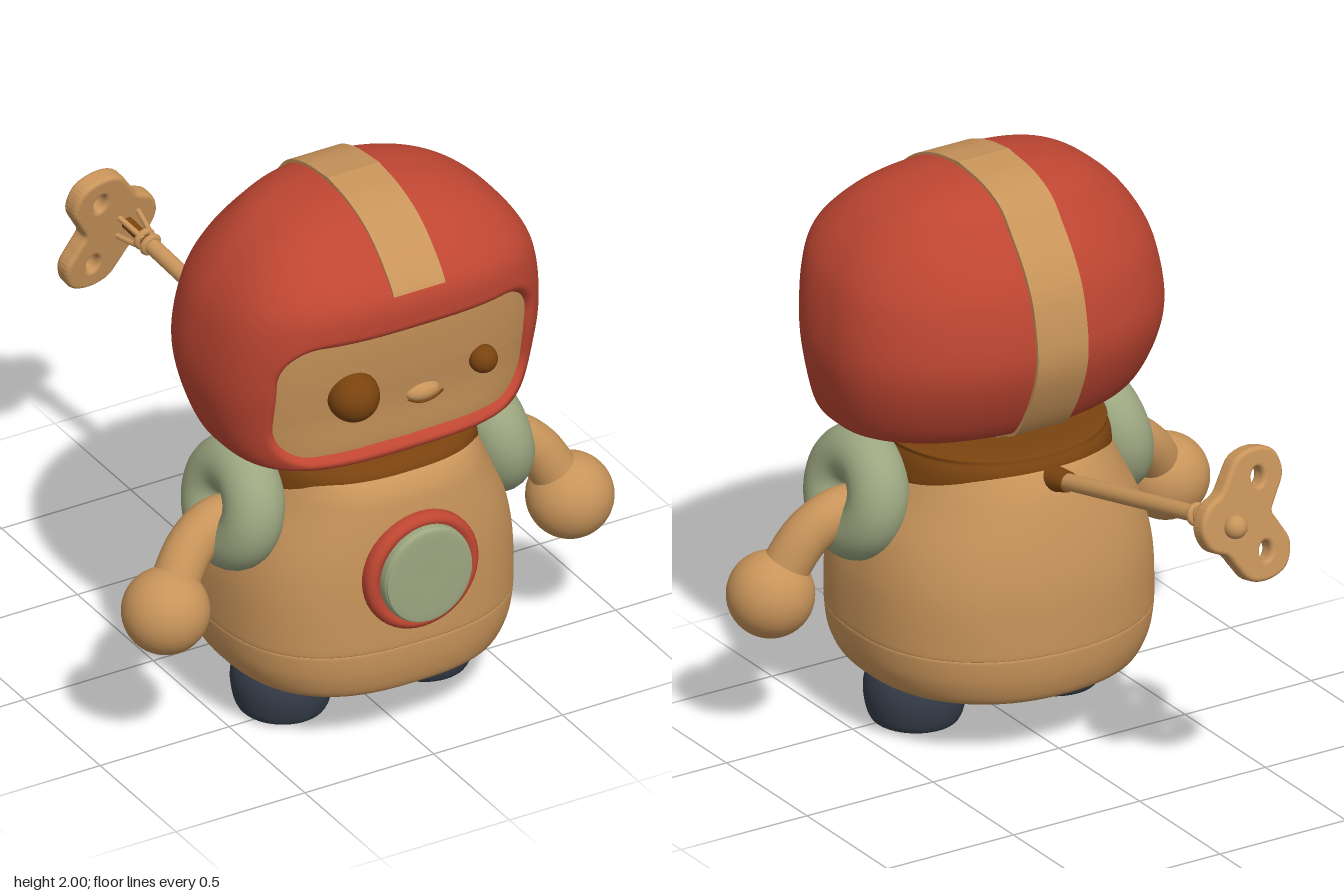
import * as THREE from 'three';

const { smoothstep } = THREE.MathUtils;
const paint = (name, color) => {
  const m = new THREE.MeshStandardMaterial({ color });
  m.name = name;
  return m;
};

// Body sections, listed upward: [y, half width, front z, back z]
const HEAD = [
  [1.06, 0, 0.5, 0.5], [1.065, 0.36, 0.72, 0.28], [1.1, 0.49, 0.83, 0.21], [1.15, 0.56, 0.855, 0.11],
  [1.3, 0.61, 0.87, 0.02], [1.45, 0.625, 0.895, -0.02], [1.63, 0.6, 0.915, 0.005], [1.75, 0.55, 0.905, 0.06],
  [1.855, 0.465, 0.82, 0.14], [1.93, 0.36, 0.72, 0.21], [1.975, 0.22, 0.6, 0.32], [1.995, 0, 0.47, 0.47],
];
const BODY = [
  [0.235, 0, 0.42, 0.42], [0.23, 0.36, 0.77, 0.07], [0.212, 0.43, 0.84, 0], [0.225, 0.48, 0.885, -0.05],
  [0.3, 0.52, 0.91, -0.08], [0.385, 0.535, 0.917, -0.09], [0.4, 0.53, 0.912, -0.085], [0.415, 0.537, 0.918, -0.09],
  [0.6, 0.53, 0.918, -0.088], [0.75, 0.495, 0.913, -0.065], [0.9, 0.425, 0.9, -0.025], [0.98, 0.39, 0.88, 0.01],
  [1.03, 0.37, 0.83, 0.05], [1.045, 0.3, 0.72, 0.12], [1.05, 0, 0.42, 0.42],
];
const COLLAR = [
  [0.9, 0.38, 0.7, 0.15], [0.94, 0.405, 0.82, 0.06], [1.0, 0.4, 0.845, 0.035], [1.05, 0.385, 0.83, 0.05],
  [1.075, 0.35, 0.76, 0.1], [1.08, 0, 0.42, 0.42],
];

// Smooth interpolation of a section list
function profile(rows) {
  const front = new THREE.CatmullRomCurve3(rows.map(([y, w, f]) => new THREE.Vector3(w, y, f)), false, 'catmullrom');
  const back = new THREE.CatmullRomCurve3(rows.map(([y, w, , b]) => new THREE.Vector3(w, y, b)), false, 'catmullrom');
  return (t) => {
    const p = front.getPoint(t), q = back.getPoint(t);
    return { w: Math.max(p.x, 0), y: p.y, f: p.z, b: q.z };
  };
}

// Loft of superellipse sections, with separate squareness at front and back
function loft(rows, nFront, nBack, around, up, deform) {
  const at = profile(rows), pos = [], index = [];
  for (let j = 0; j <= up; j++) {
    const s = at(j / up), zc = (s.f + s.b) / 2, d = (s.f - s.b) / 2;
    for (let i = 0; i < around; i++) {
      const a = (i / around) * Math.PI * 2, c = Math.cos(a), v = Math.sin(a);
      const e = 2 / (v > 0 ? nFront : nBack);
      const p = new THREE.Vector3(
        s.w * Math.sign(c) * Math.abs(c) ** e, s.y, zc + d * Math.sign(v) * Math.abs(v) ** e);
      if (deform && v > 0) deform(p);
      pos.push(p.x, p.y, p.z);
      if (j === up) continue;
      const k = j * around + i, n = j * around + ((i + 1) % around);
      index.push(k, k + around, n, n, k + around, n + around);
    }
  }
  const g = new THREE.BufferGeometry();
  g.setAttribute('position', new THREE.Float32BufferAttribute(pos, 3));
  g.setIndex(index);
  g.computeVertexNormals();
  return g;
}

// Front surface of the helmet at (x, y)
const headAt = profile(HEAD);
function headFront(x, y) {
  let lo = 0, hi = 1;
  for (let i = 0; i < 30; i++) {
    const m = (lo + hi) / 2;
    if (headAt(m).y < y) lo = m; else hi = m;
  }
  const s = headAt(lo);
  return (s.f + s.b) / 2 + ((s.f - s.b) / 2) * Math.cbrt(Math.max(0, 1 - Math.abs(x / s.w) ** 3));
}

// Distance from the rounded rectangular face opening
function openingDistance(x, y) {
  const r = 0.13, qx = Math.abs(x) - 0.475 + r, qy = Math.abs(y - 1.38) - 0.22 + r;
  return Math.hypot(Math.max(qx, 0), Math.max(qy, 0)) + Math.min(Math.max(qx, qy), 0) - r;
}

// Face panel following the helmet curve, slightly recessed
function facePanel() {
  const g = new THREE.RingGeometry(0.001, 1, 96, 14), p = g.attributes.position;
  for (let i = 0; i < p.count; i++) {
    const r = Math.hypot(p.getX(i), p.getY(i)), c = p.getX(i) / r, s = p.getY(i) / r;
    const x = 0.49 * r * Math.sign(c) * Math.abs(c) ** 0.35;
    const y = 1.38 + 0.232 * r * Math.sign(s) * Math.abs(s) ** 0.35;
    p.setXYZ(i, x, y, headFront(x, y) - 0.03);
  }
  g.computeVertexNormals();
  return g;
}

// Raised band running from the brow over the top and down the back
function helmetBand() {
  const line = [], n = 120;
  for (let i = 0; i <= n; i++) { const s = headAt(i / n); if (s.y > 1.75) line.push([s.f, s.y]); }
  for (let i = n - 1; i >= 0; i--) { const s = headAt(i / n); if (s.y > 1.08) line.push([s.b, s.y]); }
  const shift = (k) => line.map(([z, y]) => {
    const l = Math.hypot(z - 0.45, y - 1.5);
    return new THREE.Vector2(z + ((z - 0.45) / l) * k, y + ((y - 1.5) / l) * k);
  });
  const shape = new THREE.Shape([...shift(0.008), ...shift(-0.03).reverse()]);
  return new THREE.ExtrudeGeometry(shape, { depth: 0.2, bevelEnabled: false }).rotateY(-Math.PI / 2).translate(0.1, 0, 0);
}

// Lathe from [radius, height] pairs
const lathe = (pts) => new THREE.LatheGeometry(
  new THREE.SplineCurve(pts.map(([r, y]) => new THREE.Vector2(r, y))).getPoints(40).map((v) => v.setX(Math.max(v.x, 0))), 48);

export function createModel() {
  const root = new THREE.Group();
  const red = paint('red', 0xbe4632), tan = paint('tan', 0xc8945a), brown = paint('brown', 0x7a430f);
  const sage = paint('sage', 0x9ca680), navy = paint('navy', 0x363e4b);
  const add = (name, geo, mat, pos = [0, 0, 0], parent = root) => {
    const m = new THREE.Mesh(geo, mat);
    m.name = name;
    m.position.set(...pos);
    parent.add(m);
    return m;
  };

  // Helmet with recessed opening
  add('helmet', loft(HEAD, 3, 2.1, 160, 132, (p) => {
    if (p.y > 1.05 && p.y < 1.75) p.z -= 0.07 * (1 - smoothstep(openingDistance(p.x, p.y), -0.03, 0.035));
  }), red);
  add('helmetBand', helmetBand(), tan);
  add('face', facePanel(), tan);
  add('rightEye', new THREE.SphereGeometry(0.09, 32, 24), brown, [-0.227, 1.39, 0.855]);
  add('leftEye', new THREE.SphereGeometry(0.05, 24, 16), brown, [0.275, 1.385, 0.858]);
  add('nose', new THREE.SphereGeometry(0.05, 24, 16), tan, [0.05, 1.32, 0.838]).scale.set(1.3, 0.7, 0.7);
  add('mouth', new THREE.TorusGeometry(0.1, 0.004, 8, 24, 1.5).rotateZ(-Math.PI / 2 - 0.75), brown, [0.05, 1.39, 0.862]);

  // Torso and collar
  add('torso', loft(BODY, 2.6, 2.2, 96, 112), tan);
  add('collar', loft(COLLAR, 2.6, 2.2, 96, 30), brown);

  // Chest badge
  add('badgeRing', lathe([[0.2, 0], [0.217, 0.05], [0.215, 0.085], [0.195, 0.1], [0.17, 0.09], [0.15, 0.07], [0, 0.07]])
    .rotateX(Math.PI / 2), red, [0, 0.677, 0.845]);
  add('badgeCentre', lathe([[0.168, 0], [0.17, 0.05], [0.165, 0.07], [0.145, 0.079], [0, 0.08]])
    .rotateX(Math.PI / 2).scale(1, 1.06, 1), sage, [0, 0.68, 0.9]);

  // Arms and feet
  for (const [side, s, hand] of [['left', 1, [0.787, 0.547, 0.56]], ['right', -1, [-0.793, 0.583, 0.58]]]) {
    const shoulder = add(side + 'Shoulder', new THREE.TorusGeometry(0.13, 0.105, 24, 48).rotateY(Math.PI / 2), sage, [s * 0.485, 0.875, 0.5]);
    shoulder.rotation.z = s * 0.2;
    const arm = new THREE.CatmullRomCurve3([
      [s * 0.45, 0.82, 0.5], [s * 0.57, 0.815, 0.5], [s * 0.67, 0.75, 0.52], hand,
    ].map((p) => new THREE.Vector3(...p)));
    add(side + 'Arm', new THREE.TubeGeometry(arm, 32, 0.083, 24), tan);
    add(side + 'Hand', new THREE.SphereGeometry(0.15, 40, 28), tan, hand);
    add(side + 'Foot', lathe([[0, 0], [0.12, 0.003], [0.155, 0.025], [0.172, 0.1], [0.168, 0.16], [0.145, 0.22], [0.12, 0.26]]),
      navy, [s * 0.275, 0, 0.465]).scale.z = 1.03;
  }

  // Wind-up key, built along its own -z
  const key = new THREE.Group();
  key.name = 'windUpKey';
  key.position.set(0, 0.99, 0);
  key.quaternion.setFromUnitVectors(new THREE.Vector3(0, 0, 1), new THREE.Vector3(0.115, -0.18, 0.976).normalize());
  root.add(key);
  const rod = (name, r1, r2, from, to, mat) => add(name, new THREE.CylinderGeometry(r1, r2, to - from, 24)
    .rotateX(-Math.PI / 2), mat, [0, 0, -(from + to) / 2], key);
  rod('keySocket', 0.036, 0.05, -0.06, 0.05, brown);
  rod('keyShaft', 0.029, 0.029, 0, 0.75, tan);
  rod('keyNeck', 0.022, 0.022, 0.74, 0.9, brown);
  for (const d of [0.74, 0.775]) add('keyCollar', new THREE.TorusGeometry(0.03, 0.012, 12, 24), tan, [0, 0, -d], key);
  for (let i = 0; i < 4; i++) {
    const a = Math.PI / 4 + (i * Math.PI) / 2, c = Math.cos(a), s = Math.sin(a);
    const prong = new THREE.CatmullRomCurve3([[0.025, 0.76], [0.04, 0.81], [0.055, 0.87]]
      .map(([r, d]) => new THREE.Vector3(c * r, s * r, -d)));
    add('keyProng', new THREE.TubeGeometry(prong, 8, 0.01, 8), tan, [0, 0, 0], key);
  }
  // Three-lobed bow with two holes
  const half = [[0.13, 0], [0.105, 0.065], [0.035, 0.105], [-0.005, 0.16], [-0.05, 0.215], [-0.12, 0.23],
    [-0.195, 0.205], [-0.22, 0.13], [-0.185, 0.06]];
  const outline = [...half, [-0.155, 0], ...half.slice(1).reverse().map(([x, y]) => [x, -y])];
  const bow = new THREE.Shape(new THREE.CatmullRomCurve3(
    outline.map(([x, y]) => new THREE.Vector3(x * 0.95, y * 0.95, 0)), true).getPoints(90).slice(0, -1)
    .map((v) => new THREE.Vector2(v.x, v.y)));
  for (const s of [1, -1]) bow.holes.push(new THREE.Path().absellipse(-0.115, s * 0.13, 0.04, 0.048, 0, Math.PI * 2, true));
  add('keyBow', new THREE.ExtrudeGeometry(bow, {
    depth: 0.03, bevelThickness: 0.018, bevelSize: 0.015, bevelSegments: 4, curveSegments: 24,
  }), tan, [-0.01, 0, -0.92], key);
  add('keyKnob', new THREE.SphereGeometry(0.042, 24, 16), tan, [0, -0.01, -0.945], key);

  return root;
}
